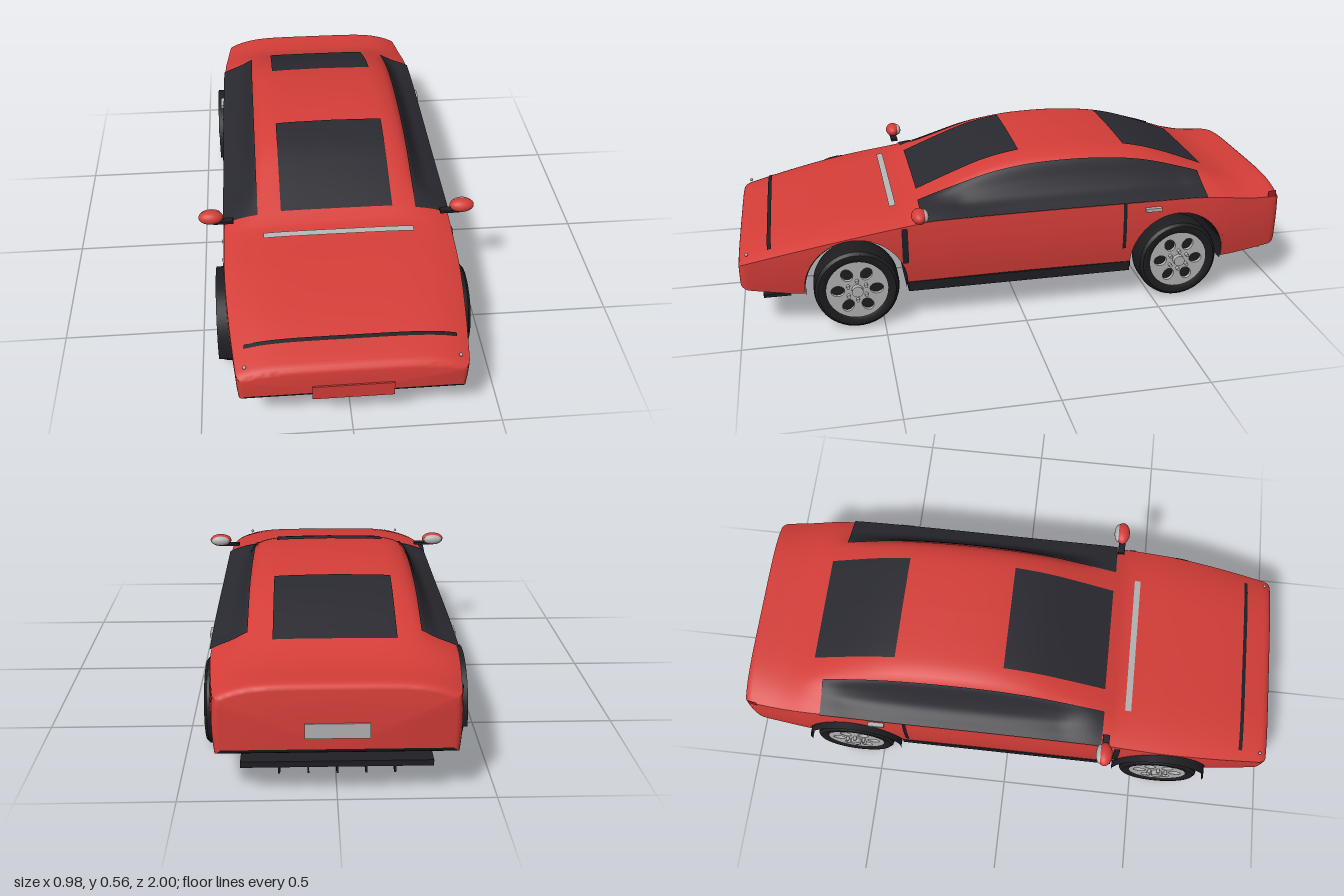
import * as THREE from 'three';
import { toCreasedNormals } from 'three/addons/utils/BufferGeometryUtils.js';

const mat = (name, color, side = THREE.FrontSide) =>
  Object.assign(new THREE.MeshStandardMaterial({ color, side }), { name });

// Smooth interpolation through [z, value] pairs sorted by rising z
function curve(pts) {
  const slope = i => {
    const a = pts[Math.max(i - 1, 0)], b = pts[Math.min(i + 1, pts.length - 1)];
    return (b[1] - a[1]) / (b[0] - a[0]);
  };
  return z => {
    if (z <= pts[0][0]) return pts[0][1];
    for (let i = 0; i < pts.length - 1; i++) {
      const [a, va] = pts[i], [b, vb] = pts[i + 1];
      if (z > b) continue;
      const d = b - a, t = (z - a) / d, t2 = t * t, t3 = t2 * t;
      return (2 * t3 - 3 * t2 + 1) * va + (t3 - 2 * t2 + t) * d * slope(i)
        + (3 * t2 - 2 * t3) * vb + (t3 - t2) * d * slope(i + 1);
    }
    return pts[pts.length - 1][1];
  };
}

// Surface from rows of points
function surface(rows) {
  const n = rows[0].length, index = [];
  for (let i = 0; i < rows.length - 1; i++) for (let j = 0; j < n - 1; j++) {
    const a = i * n + j, b = a + n;
    index.push(a, b, a + 1, b, b + 1, a + 1);
  }
  const g = new THREE.BufferGeometry();
  g.setAttribute('position', new THREE.Float32BufferAttribute(rows.flat(2), 3));
  g.setIndex(index);
  g.computeVertexNormals();
  return g;
}
const steps = (a, b, n) => Array.from({ length: n + 1 }, (_, i) => a + (b - a) * i / n);

// Body lines
const FRONT = 0.99, BACK = -1, AXLE = 0.592, ARCH = 0.18;
const roofLine = curve([[-1, 0.4], [-0.87, 0.4], [-0.8, 0.416], [-0.7, 0.455], [-0.6, 0.495], [-0.5, 0.528],
  [-0.4, 0.548], [-0.25, 0.56], [-0.1, 0.557], [0, 0.545], [0.1, 0.522], [0.2, 0.485], [0.35, 0.422],
  [0.41, 0.397], [0.6, 0.37], [0.8, 0.335], [0.99, 0.29]]);
const beltLine = curve([[-1, 0.355], [-0.87, 0.362], [-0.75, 0.38], [-0.6, 0.387], [0.3, 0.383], [0.4, 0.372],
  [0.6, 0.342], [0.8, 0.303], [0.99, 0.26]]);
const widthLine = curve([[-1, 0.38], [-0.9, 0.393], [-0.72, 0.41], [0, 0.412], [0.55, 0.41], [0.75, 0.397], [0.99, 0.372]]);
const sillLine = curve([[-1, 0.162], [-0.77, 0.14], [-0.42, 0.155], [0.42, 0.155], [0.77, 0.138], [0.99, 0.165]]);
const cabinShape = curve([[0, 1], [0.45, 0.975], [0.6, 0.92], [0.7, 0.78], [0.77, 0.47], [0.84, 0.23], [0.94, 0.08], [1, 0]]);

// Rounding of the nose and tail edges
const inset = z => {
  const d = Math.min(FRONT - z, z - BACK);
  return d > 0.03 ? 0 : 0.02 * (1 - Math.sqrt(Math.max(0, 1 - ((0.03 - d) / 0.03) ** 2)));
};
const sideX = (z, y) => (widthLine(z) - inset(z)) * (1 - 1.5 * (y - 0.26) ** 2);
const bottomY = z => {
  const d = Math.abs(Math.abs(z) - AXLE);
  const arch = d <= ARCH ? 0.155 + Math.sqrt(ARCH * ARCH - d * d) : 0;
  return Math.max(sillLine(z) + inset(z), arch);
};
function topPoint(z, u, lift = 0, out = 0) {
  const belt = beltLine(z) - inset(z) * 0.5, h = roofLine(z) - inset(z) - belt, a = Math.abs(u);
  const c = THREE.MathUtils.clamp((h - 0.04) / 0.06, 0, 1);
  const k = (1 - c) * (1 - a ** 5) + c * cabinShape(a);
  return [u * sideX(z, belt) + Math.sign(u) * out, belt + h * k + lift, z];
}
function section(z) {
  const yb = bottomY(z), belt = beltLine(z) - inset(z) * 0.5;
  const side = steps(yb, belt, 6).slice(0, -1).map(y => [sideX(z, y), y, z]);
  const top = steps(1, -1, 56).map(u => topPoint(z, u));
  return [...side, ...top, ...side.map(([x, y]) => [-x, y, z]).reverse()];
}

export function createModel() {
  const M = {
    paint: mat('red paint', 0xd43d38, THREE.DoubleSide),
    glass: mat('dark glass', 0x292930, THREE.DoubleSide),
    trim: mat('black trim', 0x1f1f24, THREE.DoubleSide),
    floor: mat('black floor', 0x131316),
    tyre: mat('tyre rubber', 0x1d1d20, THREE.DoubleSide),
    silver: mat('silver', 0xb4b4b4, THREE.DoubleSide),
    lamp: mat('dark red lamp', 0xa01c1c),
  };
  const car = new THREE.Group();
  car.name = 'car';
  const add = (name, geo, material, x = 0, y = 0, z = 0, parent = car) => {
    const m = new THREE.Mesh(geo, material);
    m.name = name;
    m.position.set(x, y, z);
    parent.add(m);
    return m;
  };
  const box = (name, m, w, h, d, x, y, z) => add(name, new THREE.BoxGeometry(w, h, d), m, x, y, z);

  // Body shell and underside, closed at nose and tail
  const zs = [...steps(BACK, FRONT, 66), ...[0.002, 0.006, 0.014, 0.022].flatMap(d => [FRONT - d, BACK + d])];
  for (const c of [-AXLE, AXLE]) for (const t of steps(0, Math.PI, 28)) zs.push(c + ARCH * Math.cos(t));
  zs.sort((a, b) => b - a);
  const rings = zs.map(section);
  const cap = z => rings[0].map(() => [0, bottomY(z), z]);
  add('bodyShell', toCreasedNormals(surface([cap(FRONT), ...rings, cap(BACK)]), 0.7), M.paint);
  const under = rings.map(r => [r[r.length - 1], r[0]]);
  add('underside', toCreasedNormals(surface(under), 0.6), M.trim);
  box('floor', M.floor, 0.79, 0.03, 0.82, 0, 0.137, 0);

  // Panels draped over the top of the body
  const drape = (name, m, z0, z1, u0, u1, lift, out = 0, nz = 30, nu = 24) =>
    add(name, surface(steps(z0, z1, nz).map(z => steps(u0, u1, nu).map(u => topPoint(z, u, lift, out)))), m);
  const flat = (name, m, z0, z1, x, lift) =>
    add(name, surface(steps(z0, z1, 24).map(z => steps(x, -x, 16).map(
      q => topPoint(z, q / sideX(z, beltLine(z)), lift)))), m);
  flat('windscreen', M.glass, 0.35, -0.03, 0.2, 0.004);
  flat('rearWindow', M.glass, -0.43, -0.745, 0.2, 0.004);
  flat('bonnetSeam', M.trim, 0.89, 0.876, 0.345, 0.004);
  flat('cowlStrip', M.silver, 0.455, 0.432, 0.265, 0.005);
  drape('leftSideGlass', M.glass, 0.355, -0.7, 1, 0.69, 0.003, 0.005, 50);
  drape('rightSideGlass', M.glass, 0.355, -0.7, -0.69, -1, 0.003, 0.005, 50);

  // Thin strips following the flanks
  const flank = (name, m, s, z0, z1, y0, y1) => {
    const ys = s > 0 ? steps(y0, y1, 8) : steps(y1, y0, 8);
    add(name, surface([z0, z1].map(z => ys.map(y => [s * (sideX(z, y) + 0.004), y, z]))), m);
  };
  for (const s of [1, -1]) {
    flank('doorSeam', M.trim, s, -0.377, -0.39, 0.215, 0.388);
    flank('wingVent', M.trim, s, 0.428, 0.406, 0.235, 0.365);
    flank('tailMarker', M.lamp, s, -0.948, -0.982, 0.355, 0.38);
    box('doorHandle', M.silver, 0.016, 0.013, 0.06, s * 0.413, 0.36, -0.49);
    box('sill', M.trim, 0.03, 0.036, 0.82, s * 0.393, 0.137, 0);

    // Door mirrors
    const shell = add('mirrorShell', new THREE.SphereGeometry(1, 24, 16), M.paint, s * 0.448, 0.427, 0.368);
    shell.scale.set(0.044, 0.025, 0.028);
    const face = add('mirrorGlass', new THREE.SphereGeometry(1, 24, 12), M.silver, s * 0.448, 0.427, 0.352);
    face.scale.set(0.037, 0.02, 0.016);
    box('mirrorArm', M.trim, 0.07, 0.01, 0.025, s * 0.405, 0.408, 0.37);
    add('bonnetStud', new THREE.SphereGeometry(0.006, 10, 8), M.silver, s * 0.345, 0.289, 0.96);
  }

  // Number plate panels, splitter and diffuser
  box('frontPlatePanel', M.paint, 0.265, 0.055, 0.012, 0, 0.188, 0.989);
  box('rearPlate', M.silver, 0.2, 0.05, 0.008, 0, 0.245, -1.0);
  box('frontSplitter', M.trim, 0.67, 0.012, 0.095, 0, 0.114, 0.87);
  box('diffuser', M.trim, 0.6, 0.02, 0.135, 0, 0.118, -0.91);
  for (const x of steps(-0.18, 0.18, 4)) box('diffuserFin', M.trim, 0.006, 0.04, 0.135, x, 0.106, -0.91);

  // Wheel arch tunnels and wheels
  const rim = new THREE.Shape().absarc(0, 0, 0.111, 0, Math.PI * 2);
  for (const a of steps(0, Math.PI * 5 / 3, 5)) {
    rim.holes.push(new THREE.Path().absellipse(
      0.068 * Math.cos(a), 0.068 * Math.sin(a), 0.024, 0.02, 0, Math.PI * 2, true, a));
  }
  const rimGeo = new THREE.ExtrudeGeometry(rim, { depth: 0.014, bevelEnabled: false, curveSegments: 24 }).rotateY(Math.PI / 2);
  const tyreGeo = toCreasedNormals(new THREE.LatheGeometry(
    [[0.108, -0.05], [0.122, -0.057], [0.136, -0.056], [0.146, -0.047], [0.15, -0.03],
      [0.15, 0.03], [0.146, 0.047], [0.136, 0.056], [0.122, 0.057], [0.108, 0.05]]
      .map(p => new THREE.Vector2(...p)), 48).rotateZ(-Math.PI / 2), 0.6);
  const disc = (r, d, open = false) => new THREE.CylinderGeometry(r, r, d, 36, 1, open).rotateZ(Math.PI / 2);
  for (const z of [AXLE, -AXLE]) {
    const liner = new THREE.CylinderGeometry(0.178, 0.178, 0.835, 36, 1, true, -0.14, Math.PI + 0.28);
    add('archLiner', liner.rotateZ(Math.PI / 2), M.trim, -0.0175, 0.155, z);
    for (const s of [1, -1]) {
      const wheel = new THREE.Group();
      wheel.name = 'wheel';
      wheel.position.set(s * 0.375, 0.154, z);
      wheel.rotation.y = s > 0 ? 0 : Math.PI;
      car.add(wheel);
      add('tyre', tyreGeo, M.tyre, 0, 0, 0, wheel);
      add('rimBarrel', disc(0.109, 0.1, true), M.silver, 0, 0, 0, wheel);
      add('rimFace', rimGeo, M.silver, 0.036, 0, 0, wheel);
      add('rimBacking', disc(0.108, 0.01), M.tyre, 0.022, 0, 0, wheel);
      add('brakeDisc', disc(0.085, 0.012), M.silver, -0.02, 0, 0, wheel);
      add('hubInner', disc(0.035, 0.03), M.tyre, -0.032, 0, 0, wheel);
      add('brakeCaliper', new THREE.BoxGeometry(0.035, 0.05, 0.03), M.lamp, -0.02, 0.02, 0.075, wheel);
      add('hubCap', disc(0.02, 0.022), M.silver, 0.057, 0, 0, wheel);
      for (const a of steps(Math.PI / 6, Math.PI * 11 / 6, 5)) {
        add('wheelBolt', disc(0.006, 0.018), M.silver, 0.056, 0.036 * Math.sin(a), 0.036 * Math.cos(a), wheel);
      }
    }
  }
  return car;
}
